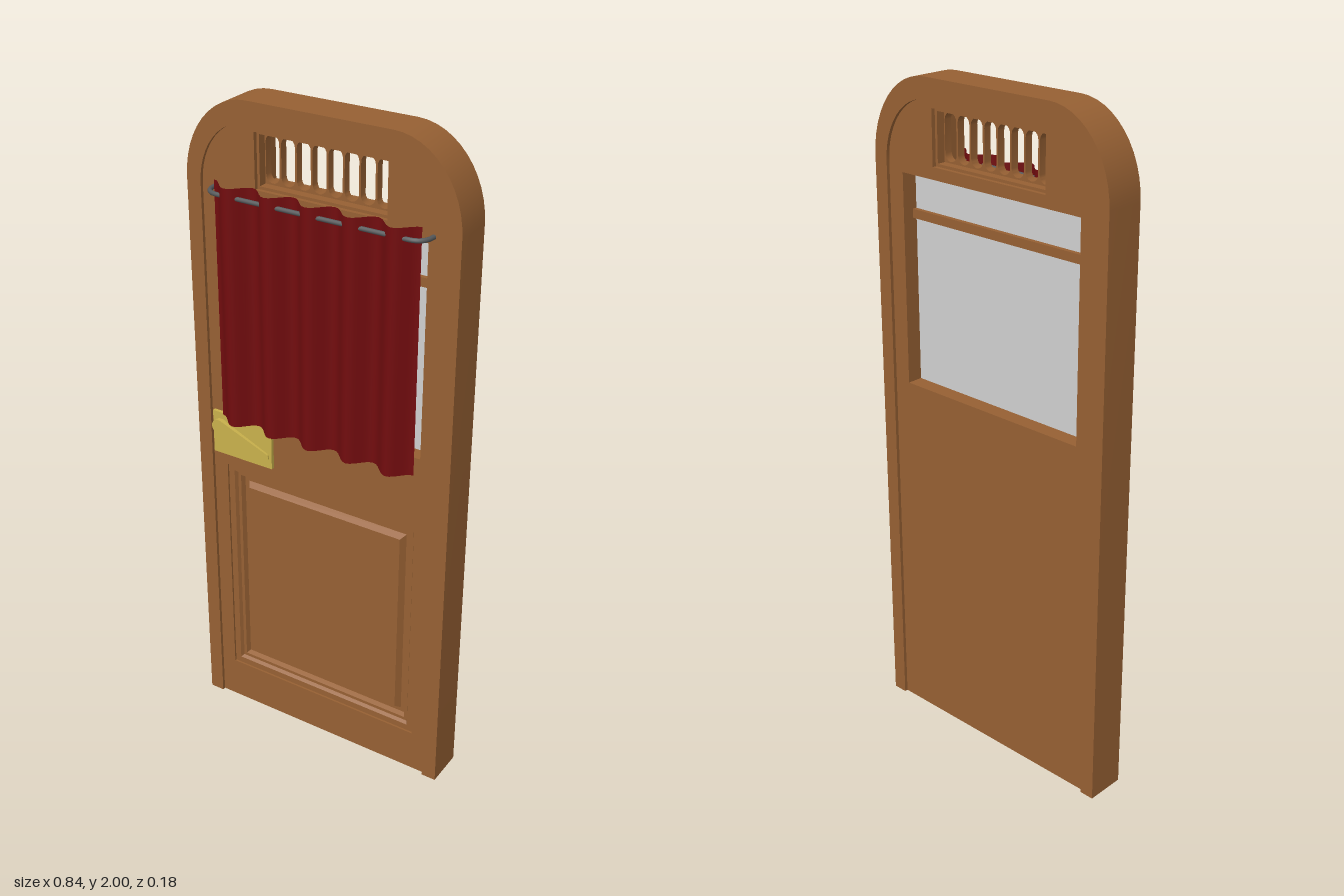
import * as THREE from 'three';
import { toCreasedNormals } from 'three/addons/utils/BufferGeometryUtils.js';

const mat = (name, color, side = THREE.FrontSide) => {
  const m = new THREE.MeshStandardMaterial({ color, side });
  m.name = name;
  return m;
};

// Outline points of an arch-shouldered door, from bottom left over the top to bottom right
function archPoints(w, h, rx, ry, n = 12) {
  const pts = [[-w, 0]];
  for (let i = 0; i <= n; i++) {
    const a = Math.PI - (i / n) * Math.PI / 2;
    pts.push([-w + rx + Math.cos(a) * rx, h - ry + Math.sin(a) * ry]);
  }
  const right = pts.map(([x, y]) => [-x, y]).reverse();
  return [...pts, ...right].map(([x, y]) => new THREE.Vector2(x, y));
}

function rect(x0, y0, x1, y1) {
  return [[x0, y0], [x1, y0], [x1, y1], [x0, y1]].map(([x, y]) => new THREE.Vector2(x, y));
}

// Upright slot with rounded ends
function slot(cx, y0, y1, r, n = 10) {
  const pts = [];
  for (let i = 0; i <= n; i++) {
    const a = (i / n) * Math.PI;
    pts.push(new THREE.Vector2(cx + r * Math.cos(a), y1 - r + r * Math.sin(a)));
  }
  for (let i = 0; i <= n; i++) {
    const a = Math.PI + (i / n) * Math.PI;
    pts.push(new THREE.Vector2(cx + r * Math.cos(a), y0 + r + r * Math.sin(a)));
  }
  return pts;
}

// Plate between two depths, with optional holes
function plate(points, holes, z0, z1) {
  const shape = new THREE.Shape(points);
  shape.holes = holes.map((h) => new THREE.Path(h));
  const g = new THREE.ExtrudeGeometry(shape, { depth: z1 - z0, bevelEnabled: false });
  g.translate(0, 0, z0);
  return toCreasedNormals(g, 0.5);
}

// Rectangular moulding: nested loops of [inset, z], closed by a flat centre
function nestedPanel(w, h, cy, profile) {
  const pos = [];
  const loop = ([d, z]) => [[-1, -1], [1, -1], [1, 1], [-1, 1]]
    .map(([sx, sy]) => [sx * (w - d), cy + sy * (h - d), z]);
  const quad = (a, b, c, d) => pos.push(...a, ...b, ...c, ...a, ...c, ...d);
  for (let i = 0; i < profile.length - 1; i++) {
    const o = loop(profile[i]), n = loop(profile[i + 1]);
    for (let k = 0; k < 4; k++) quad(o[k], o[(k + 1) % 4], n[(k + 1) % 4], n[k]);
  }
  quad(...loop(profile[profile.length - 1]));
  const g = new THREE.BufferGeometry();
  g.setAttribute('position', new THREE.Float32BufferAttribute(pos, 3));
  g.computeVertexNormals();
  return g;
}

export function createModel() {
  const door = new THREE.Group();
  door.name = 'door';
  const wood = mat('wood', 0x966033);
  const cloth = mat('red cloth', 0x720c0e, THREE.DoubleSide);
  const brass = mat('brass', 0xc9b14c);
  const iron = mat('dark iron', 0x55585a);
  const glass = mat('pale glass', 0xd0d0d0);
  const add = (name, geometry, material, parent = door) => {
    const m = new THREE.Mesh(geometry, material);
    m.name = name;
    parent.add(m);
    return m;
  };

  // Outer frame, open at the bottom
  const inner = archPoints(0.375, 1.94, 0.16, 0.19);
  const outer = archPoints(0.42, 2, 0.2, 0.24);
  add('outerFrame', plate([...outer, ...inner.slice().reverse()], [], -0.09, 0.03), wood);

  // Door leaf in two layers; only the front one is cut for the lower panel
  const windowHole = rect(-0.322, 1.1, 0.322, 1.725);
  const grilleHole = rect(-0.203, 1.76, 0.203, 1.918);
  const panelHole = rect(-0.328, 0.135, 0.328, 0.878);
  add('leafBack', plate(inner, [windowHole, grilleHole], -0.08, -0.03), wood);
  add('leafFront', plate(inner, [windowHole, grilleHole, panelHole], -0.03, 0.02), wood);

  // Lower panel: stepped recess around a raised field
  add('lowerPanel', nestedPanel(0.328, 0.3715, 0.5065, [
    [0, 0.02], [0, 0.014], [0.02, 0.014], [0.026, 0.004], [0.036, 0.004],
    [0.042, -0.01], [0.056, -0.01], [0.068, 0.008],
  ]), wood);

  // Window pane and glazing bar
  const pane = add('windowPane', new THREE.BoxGeometry(0.644, 0.625, 0.008), glass);
  pane.position.set(0, 1.4125, -0.028);
  const bar = add('glazingBar', new THREE.BoxGeometry(0.644, 0.026, 0.035), wood);
  bar.position.set(0, 1.602, -0.028);

  // Vent grille with eight slots, and a thin bead on both faces
  const slots = [];
  for (let i = 0; i < 8; i++) slots.push(slot((i - 3.5) * 0.0488, 1.772, 1.905, 0.0215));
  add('ventGrille', plate(grilleHole, slots, -0.042, -0.018), wood);
  const beadHole = rect(-0.195, 1.768, 0.195, 1.91);
  add('ventBeadFront', plate(grilleHole, [beadHole], -0.018, 0.008), wood);
  add('ventBeadBack', plate(grilleHole, [beadHole], -0.068, -0.042), wood);

  // Curtain rod, bent back to the door at both ends
  const bend = new THREE.CurvePath();
  const v = (x, z) => new THREE.Vector3(x, 1.745, z);
  bend.add(new THREE.LineCurve3(v(-0.337, 0.015), v(-0.335, 0.035)));
  bend.add(new THREE.QuadraticBezierCurve3(v(-0.335, 0.035), v(-0.328, 0.068), v(-0.29, 0.069)));
  bend.add(new THREE.LineCurve3(v(-0.29, 0.069), v(0.29, 0.069)));
  bend.add(new THREE.QuadraticBezierCurve3(v(0.29, 0.069), v(0.328, 0.068), v(0.335, 0.035)));
  bend.add(new THREE.LineCurve3(v(0.335, 0.035), v(0.337, 0.015)));
  add('curtainRod', new THREE.TubeGeometry(bend, 120, 0.0065, 10), iron);

  // Curtain: a sheet with five folds woven over the rod
  const sheet = new THREE.PlaneGeometry(0.635, 0.715, 60, 1);
  const p = sheet.attributes.position;
  for (let i = 0; i < p.count; i++) {
    const x = p.getX(i);
    p.setZ(i, 0.067 - 0.022 * Math.cos(((x + 0.3175) / 0.127) * Math.PI * 2));
  }
  sheet.computeVertexNormals();
  add('curtain', sheet, cloth).position.set(-0.001, 1.4175, 0);

  // Handle: plate, boss and tapered lever
  const handle = new THREE.Group();
  handle.name = 'handle';
  door.add(handle);
  add('handlePlate', plate(rect(-0.366, 0.918, -0.16, 1.055), [], 0.018, 0.031), brass, handle);
  const boss = add('handleBoss', new THREE.CylinderGeometry(0.016, 0.02, 0.03, 20), brass, handle);
  boss.rotation.x = Math.PI / 2;
  boss.position.set(-0.334, 1.016, 0.033);
  const lever = [];
  const tilt = Math.atan2(-0.054, 0.16);
  for (let i = 0; i <= 10; i++) {
    const a = tilt + Math.PI / 2 + (i / 10) * Math.PI;
    lever.push(new THREE.Vector2(-0.334 + 0.023 * Math.cos(a), 1.016 + 0.023 * Math.sin(a)));
  }
  for (let i = 0; i <= 8; i++) {
    const a = tilt - Math.PI / 2 + (i / 8) * Math.PI;
    lever.push(new THREE.Vector2(-0.174 + 0.011 * Math.cos(a), 0.962 + 0.011 * Math.sin(a)));
  }
  const leverGeo = plate(lever, [], 0, 1);
  const lp = leverGeo.attributes.position;
  // The lever thins towards its tip
  for (let i = 0; i < lp.count; i++) {
    const t = (lp.getX(i) + 0.357) / 0.195;
    lp.setZ(i, 0.037 + 0.002 * t + lp.getZ(i) * (0.014 - 0.008 * t));
  }
  add('handleLever', toCreasedNormals(leverGeo, 0.5), brass, handle);

  return door;
}
